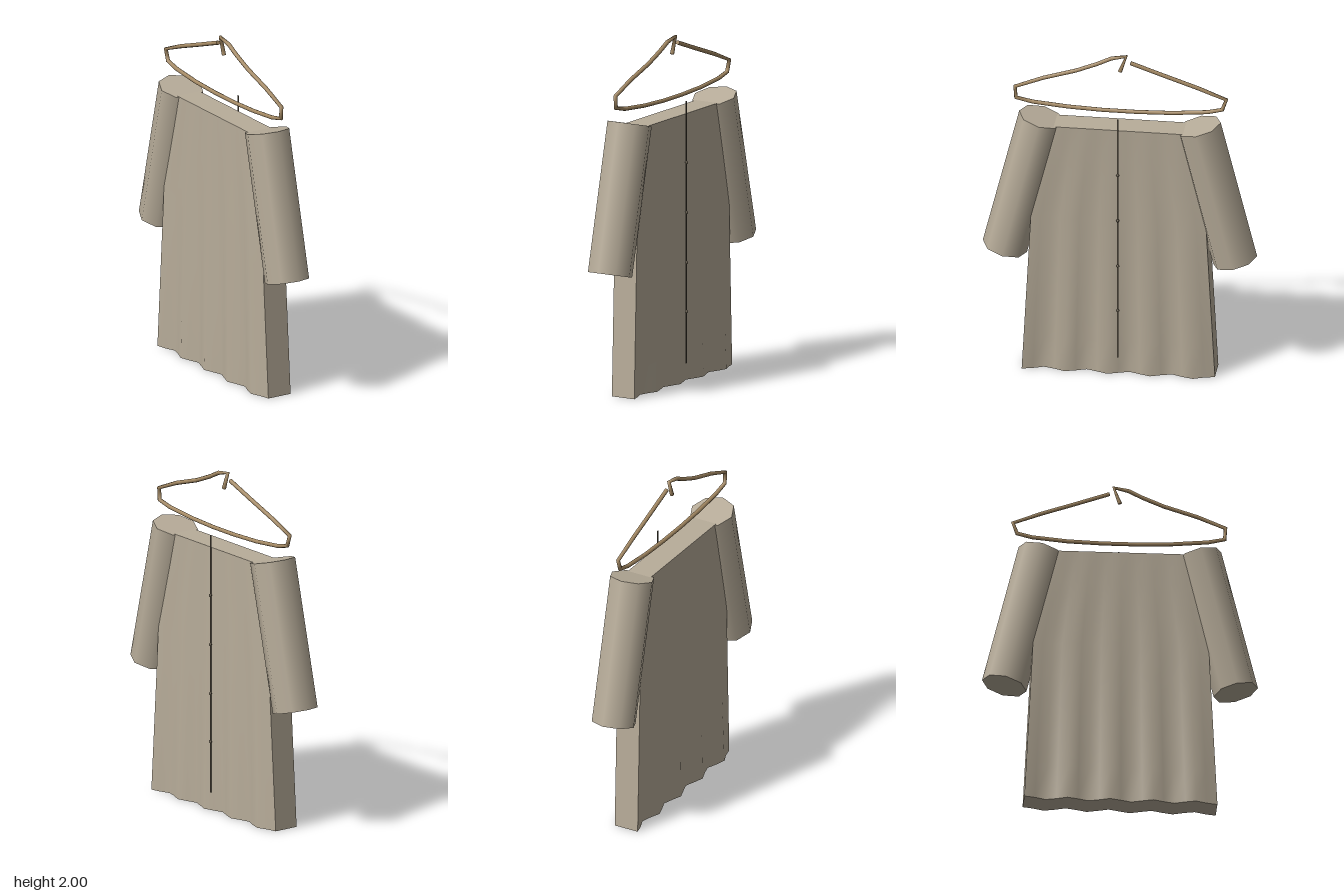
import * as THREE from 'three';

const fabric = new THREE.MeshStandardMaterial({ color: 0xb8ad9a });
const wood = new THREE.MeshStandardMaterial({ color: 0xa58a64, side: THREE.DoubleSide });
const trim = new THREE.MeshStandardMaterial({ color: 0x6b6252 });

function add(parent, name, geometry, material) {
  const mesh = new THREE.Mesh(geometry, material);
  mesh.name = name;
  parent.add(mesh);
  return mesh;
}

// Polyline through the given points, one tube ring per point
class Polyline extends THREE.Curve {
  constructor(points) { super(); this.points = points; }
  getPoint(t) {
    const s = Math.min(Math.max(t, 0), 1) * (this.points.length - 1);
    const i = Math.min(Math.floor(s), this.points.length - 2);
    return this.points[i].clone().lerp(this.points[i + 1], s - i);
  }
  getPointAt(u) { return this.getPoint(u); }
  getTangentAt(u) {
    const d = 0.2 / (this.points.length - 1);
    const here = this.getPoint(u);
    const before = here.clone().sub(this.getPoint(u - d)).normalize();
    const after = this.getPoint(u + d).sub(here).normalize();
    return before.add(after).normalize();
  }
}

// Coat body: flared slab whose pleats deepen towards the hem
function bodyGeometry() {
  const height = 1.55, bend = 0.97;
  const geo = new THREE.BoxGeometry(0.15, height, 2, 1, 8, 18);
  const p = geo.attributes.position;
  for (let i = 0; i < p.count; i++) {
    const y = p.getY(i) + height / 2;
    const half = y < bend
      ? THREE.MathUtils.mapLinear(y, 0, bend, 0.55, 0.5)
      : THREE.MathUtils.mapLinear(y, bend, height, 0.5, 0.39);
    const u = p.getZ(i);
    const wave = 0.02 * (1 - y / height) * Math.cos((2 * Math.PI * (u * 0.55 - 0.06)) / 0.24);
    p.setXYZ(i, p.getX(i) + wave, y, u * half);
  }
  geo.computeVertexNormals();
  return geo;
}

export function createModel() {
  const coat = new THREE.Group();
  coat.name = 'coatOnHanger';

  add(coat, 'body', bodyGeometry(), fabric);

  // Sleeves: eight-sided tubes leaning outwards
  for (const side of [1, -1]) {
    const top = new THREE.Vector3(0, 1.57, 0.45 * side);
    const cuff = new THREE.Vector3(0, 0.73, 0.658 * side);
    const axis = top.clone().sub(cuff);
    const sleeve = add(coat, side > 0 ? 'frontSleeve' : 'backSleeve',
      new THREE.CylinderGeometry(0.13, 0.13, axis.length(), 8), fabric);
    sleeve.position.copy(top).add(cuff).multiplyScalar(0.5);
    sleeve.rotation.x = Math.atan2(axis.z, axis.y);
  }

  // Front closure with four small buttons
  add(coat, 'placket', new THREE.BoxGeometry(0.004, 1.52, 0.01), trim).position.set(0.095, 0.87, 0);
  for (const y of [0.41, 0.695, 0.985, 1.275]) {
    add(coat, 'button', new THREE.SphereGeometry(0.009, 8, 6), trim).position.set(0.098, y, 0);
  }

  // Hanger: one bent rod from hook tip round to the open end, as [z, y]
  const path = [
    [0, 1.89], [-0.035, 1.988], [0.05, 1.97], [0.13, 1.93], [0.25, 1.88], [0.44, 1.82],
    [0.6, 1.755], [0.595, 1.685], [0.5, 1.664], [0.3, 1.646], [0.1, 1.638], [-0.1, 1.638],
    [-0.3, 1.645], [-0.5, 1.664], [-0.585, 1.685], [-0.608, 1.75], [-0.45, 1.812],
    [-0.25, 1.881], [-0.06, 1.948],
  ].map(([z, y]) => new THREE.Vector3(0, y, z));
  const hanger = new THREE.Group();
  hanger.name = 'hanger';
  coat.add(hanger);
  const radius = 0.012, last = path.length - 1;
  add(hanger, 'hangerRod', new THREE.TubeGeometry(new Polyline(path), last, radius, 8), wood);
  for (const [end, next] of [[0, 1], [last, last - 1]]) {
    const cap = add(hanger, 'hangerTip', new THREE.CircleGeometry(radius, 8), wood);
    cap.position.copy(path[end]);
    cap.lookAt(path[end].clone().multiplyScalar(2).sub(path[next]));
  }

  return coat;
}
